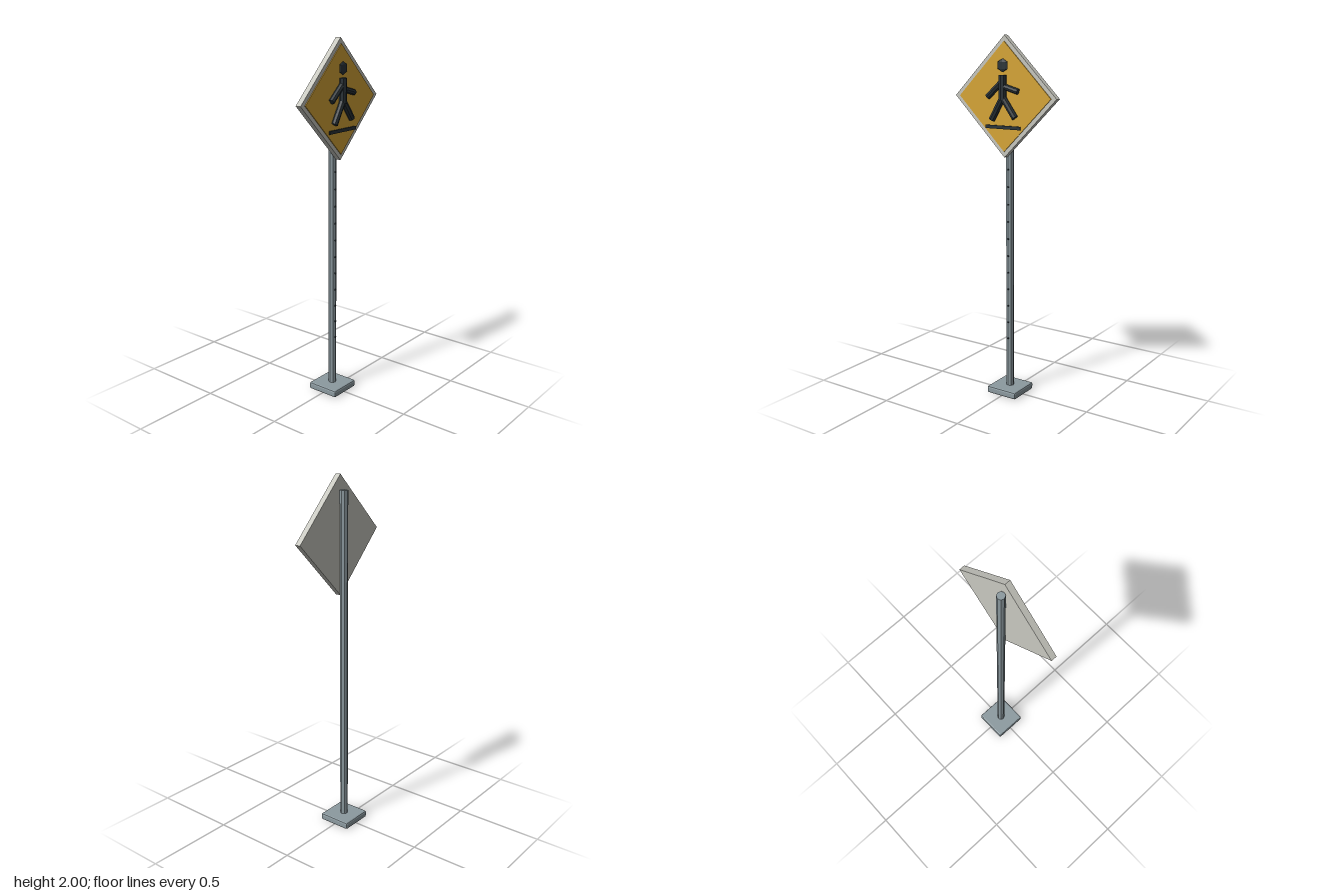
import * as THREE from 'three';
import { RoundedBoxGeometry } from 'three/addons/geometries/RoundedBoxGeometry.js';

const flat = (name, color) => {
  const m = new THREE.MeshStandardMaterial({ color, flatShading: true });
  m.name = name;
  return m;
};

export function createModel() {
  const metal = flat('galvanised metal', 0x8c9aa0);
  const border = flat('pale sign backing', 0xc8c8c0);
  const yellow = flat('warning yellow', 0xd6a536);
  const dark = flat('dark symbol', 0x2a3338);

  const model = new THREE.Group();
  model.name = 'crossingSign';
  const add = (name, geometry, material, x, y, z, parent = model) => {
    const mesh = new THREE.Mesh(geometry, material);
    mesh.name = name;
    mesh.position.set(x, y, z);
    parent.add(mesh);
    return mesh;
  };

  // Foot plate and post
  add('base', new RoundedBoxGeometry(0.19, 0.036, 0.19, 1, 0.009), metal, 0, 0.02, 0).scale.set(1, 0.04 / 0.036, 1);
  add('post', new THREE.CylinderGeometry(0.022, 0.022, 1.9, 8), metal, 0, 0.97, 0);

  // Row of bolt holes down the front of the post
  const hole = new THREE.CylinderGeometry(0.006, 0.006, 0.006, 8).rotateX(Math.PI / 2);
  for (let i = 0; i < 11; i++) add('postHole', hole, dark, 0, 0.325 + i * 0.0965, 0.021);

  // Diamond board: backing plate and raised yellow face
  const cy = 1.68;
  const diamond = (half, depth) =>
    new THREE.BoxGeometry(half * Math.SQRT2, half * Math.SQRT2, depth).rotateZ(Math.PI / 4);
  add('signBacking', diamond(0.32, 0.032), border, 0, cy, 0.039);
  add('signFace', diamond(0.289, 0.008), yellow, 0, cy, 0.056);

  // Walking figure
  const figure = new THREE.Group();
  figure.name = 'walkingFigure';
  model.add(figure);
  const z = 0.07;
  const limb = (name, x1, y1, x2, y2, r) => {
    const length = Math.hypot(x2 - x1, y2 - y1);
    const mesh = add(name, new THREE.CylinderGeometry(r, r, length, 8), dark, (x1 + x2) / 2, (y1 + y2) / 2, z, figure);
    mesh.rotation.z = Math.atan2(x1 - x2, y2 - y1);
  };
  add('head', new THREE.SphereGeometry(0.036, 8, 3), dark, 0, 1.845, z + 0.001, figure).scale.z = 0.22;
  limb('torso', 0, 1.665, 0, 1.795, 0.022);
  limb('rightArm', 0, 1.765, -0.095, 1.68, 0.017);
  limb('leftArm', 0, 1.738, 0.096, 1.712, 0.016);
  limb('rightLeg', 0, 1.68, -0.07, 1.56, 0.018);
  limb('leftLeg', 0, 1.68, 0.077, 1.575, 0.018);

  // Ground line under the figure
  add('groundLine', new THREE.BoxGeometry(0.222, 0.018, 0.007), dark, 0, 1.522, z, figure);

  return model;
}
